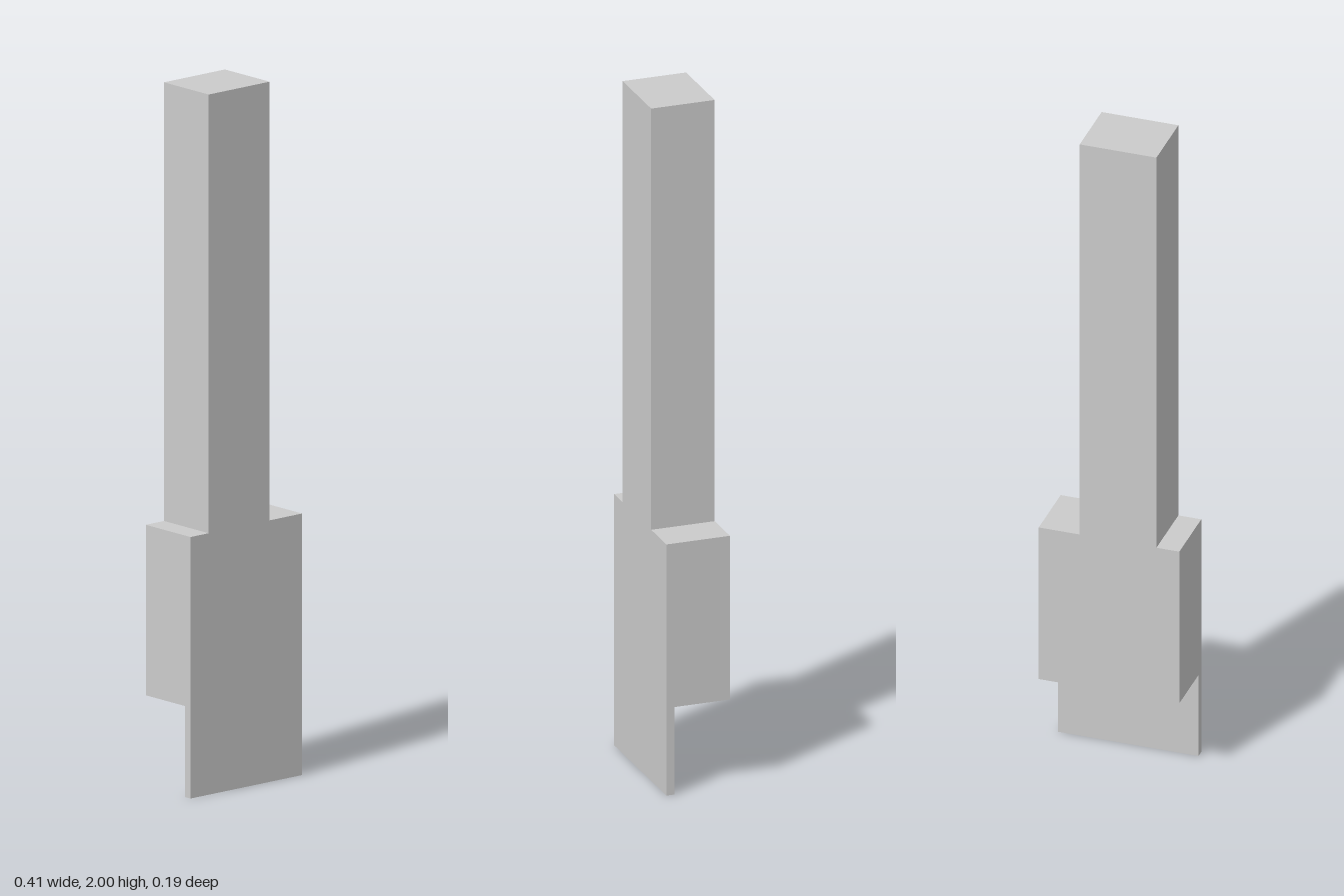
import * as THREE from 'three';

const WIDTH = 0.412, HALF_DEPTH = 0.094;
const LIP_TOP = 0.26, LIP_BACK = 0.07;
const SHOULDER = 0.747, TOP = 2;

export function createModel() {
  const group = new THREE.Group();
  const material = new THREE.MeshStandardMaterial({ color: 0xcccccc, flatShading: true });

  function add(name, geometry) {
    const mesh = new THREE.Mesh(geometry, material);
    mesh.name = name;
    group.add(mesh);
    return mesh;
  }

  // Wide block with a thin lip hanging from its front: side profile (z, y) swept across x
  const profile = new THREE.Shape([
    [HALF_DEPTH, 0], [HALF_DEPTH, SHOULDER], [-HALF_DEPTH, SHOULDER],
    [-HALF_DEPTH, LIP_TOP], [LIP_BACK, LIP_TOP], [LIP_BACK, 0],
  ].map(([z, y]) => new THREE.Vector2(z, y)));
  const block = new THREE.ExtrudeGeometry(profile, { depth: WIDTH, bevelEnabled: false });
  block.translate(0, 0, -WIDTH / 2).rotateY(-Math.PI / 2);
  add('baseBlock', block);

  // Tall column, set slightly off centre on the block
  const left = 0.086, right = -0.139;
  const column = new THREE.BoxGeometry(left - right, TOP - SHOULDER, HALF_DEPTH * 2);
  add('column', column).position.set((left + right) / 2, (TOP + SHOULDER) / 2, 0);

  return group;
}
